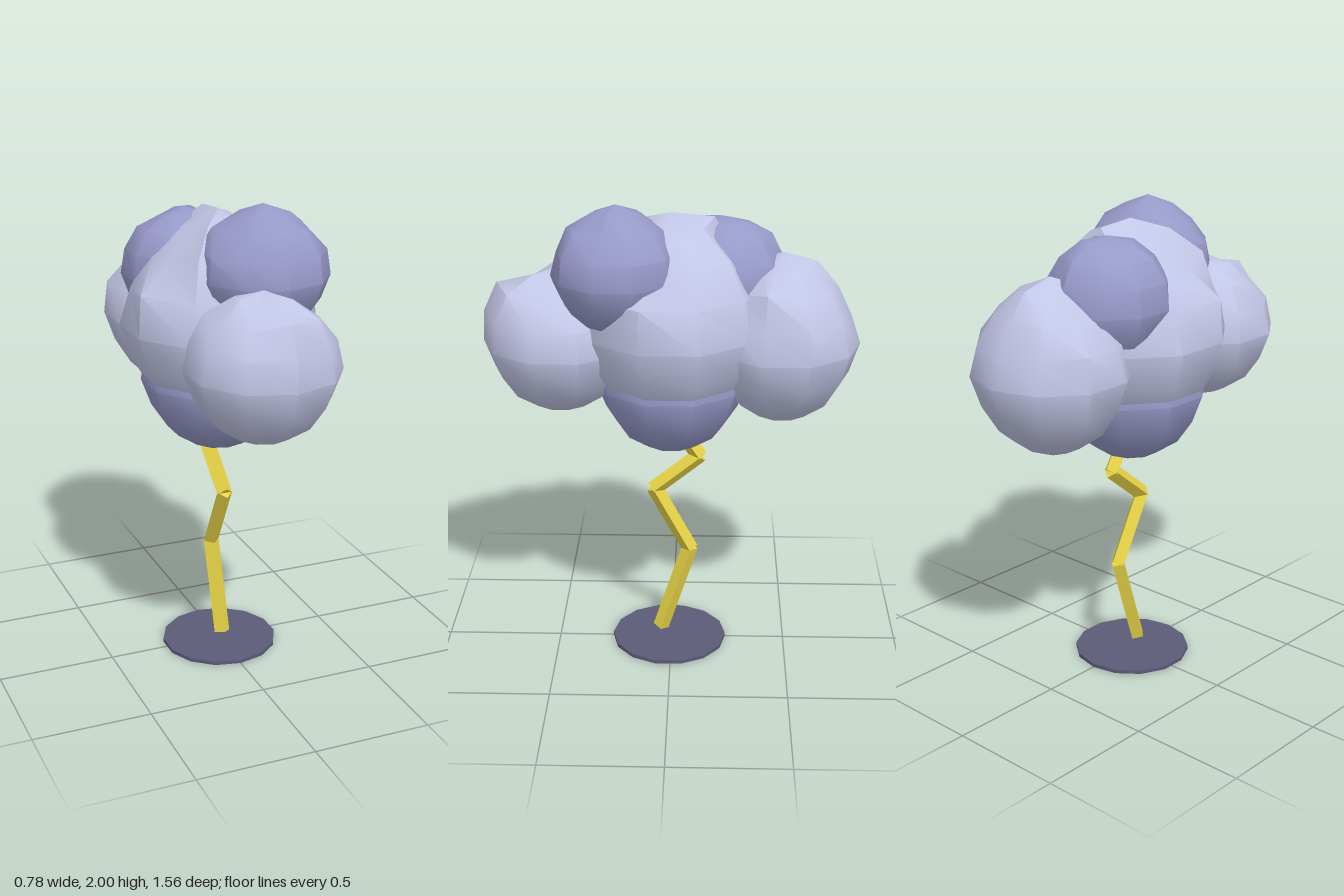
import * as THREE from 'three';
import { toCreasedNormals } from 'three/addons/utils/BufferGeometryUtils.js';

const material = (name, color) => Object.assign(new THREE.MeshStandardMaterial({ color }), { name });

// Ten-sided ball: smooth and slightly tapered below, lumpy on top.
// bumps: [direction x, y, z, radius factor]
function puff(center, radii, seed, lump, bumps) {
  const geo = new THREE.SphereGeometry(1, 10, 8);
  geo.rotateY(Math.PI / 2);
  const pos = geo.attributes.position;
  const v = new THREE.Vector3();
  for (let i = 0; i < pos.count; i++) {
    v.fromBufferAttribute(pos, i);
    const [x, y, z] = v.toArray().map((n) => Math.round(n * 100));
    const h = Math.sin(x * 1.27 + y * 3.11 + z * 7.47 + seed * 5.3) * 437.58;
    const random = h - Math.floor(h);
    let scale = 1;
    if (y > 10) scale += lump * (random - 0.5) * 2;
    else if (y < -10 && y > -99) scale = 0.94;
    for (const [bx, by, bz, factor] of bumps) {
      if (v.angleTo(new THREE.Vector3(bx, by, bz)) < 0.2) scale = factor;
    }
    v.multiplyScalar(scale);
    pos.setXYZ(i, v.x, v.y, v.z);
  }
  geo.scale(...radii);
  geo.translate(...center);
  return toCreasedNormals(geo, 0.7);
}

export function createModel() {
  const pale = material('pale cloud', 0xc2c6e6);
  const dark = material('dark cloud', 0x9799c8);
  const yellow = material('lightning yellow', 0xecd848);
  const slate = material('slate', 0x5c5b78);
  const model = new THREE.Group();
  model.name = 'stormCloud';
  const add = (parent, name, geo, mat) => {
    const mesh = new THREE.Mesh(geo, mat);
    mesh.name = name;
    parent.add(mesh);
    return mesh;
  };

  // Cloud puffs
  const cloud = new THREE.Group();
  cloud.name = 'cloud';
  model.add(cloud);
  const puffs = [
    ['middlePuff', [0, 1.47, 0], [0.41, 0.44, 0.4], 1, 0.06, pale,
      [[0, 1, 0, 1.08], [0, 0.92, -0.38, 1.13], [-0.67, 0.71, 0.22, 0.92], [-0.67, 0.71, -0.22, 0.92],
        [0.67, 0.71, 0.22, 0.9], [0.42, 0.71, 0.57, 0.9], [0, 0.71, 0.71, 0.92], [0.36, 0.92, 0.12, 0.98]]],
    ['frontPuff', [0, 1.4, 0.46], [0.315, 0.31, 0.32], 2, 0.08, pale, [[0, 0.71, 0.71, 1.14], [0, 1, 0, 1.02]]],
    ['backPuff', [0, 1.4, -0.46], [0.33, 0.35, 0.32], 3, 0.08, pale,
      [[0, 0.92, -0.38, 1.08], [0, 0.71, -0.71, 0.98], [0, 1, 0, 1.1]]],
    ['upperFrontPuff', [0.1, 1.71, 0.22], [0.275, 0.265, 0.265], 4, 0.05, dark, [[0, 1, 0, 1.09]]],
    ['upperBackPuff', [-0.07, 1.64, -0.21], [0.265, 0.27, 0.26], 5, 0.06, dark,
      [[0, 1, 0, 1.02], [0, 0.71, -0.71, 1.08]]],
    ['lowerPuff', [0, 1.23, 0], [0.325, 0.32, 0.32], 6, 0.04, dark, []],
  ];
  for (const [name, center, radii, seed, lump, mat, bumps] of puffs) {
    add(cloud, name, puff(center, radii, seed, lump, bumps), mat);
  }

  // Zigzag bolt made of four-sided bars
  const bolt = new THREE.Group();
  bolt.name = 'lightningBolt';
  model.add(bolt);
  const zigzag = [[0.055, 0.045], [0.445, -0.08], [0.73, 0.073], [0.885, -0.118], [1.02, -0.03]]
    .map(([y, z]) => new THREE.Vector3(0, y, z));
  const up = new THREE.Vector3(0, 1, 0);
  for (let i = 0; i < zigzag.length - 1; i++) {
    const dir = zigzag[i + 1].clone().sub(zigzag[i]);
    const geo = new THREE.CylinderGeometry(0.035, 0.035, dir.length() + 0.01, 4).toNonIndexed();
    geo.computeVertexNormals();
    const bar = add(bolt, 'boltSegment' + (i + 1), geo, yellow);
    bar.position.copy(zigzag[i]).addScaledVector(dir, 0.5);
    bar.quaternion.setFromUnitVectors(up, dir.normalize());
  }

  // Ground disc
  const disc = add(model, 'groundDisc', new THREE.CylinderGeometry(0.25, 0.25, 0.016, 14), slate);
  disc.position.set(0, 0.008, 0.01);

  return model;
}
